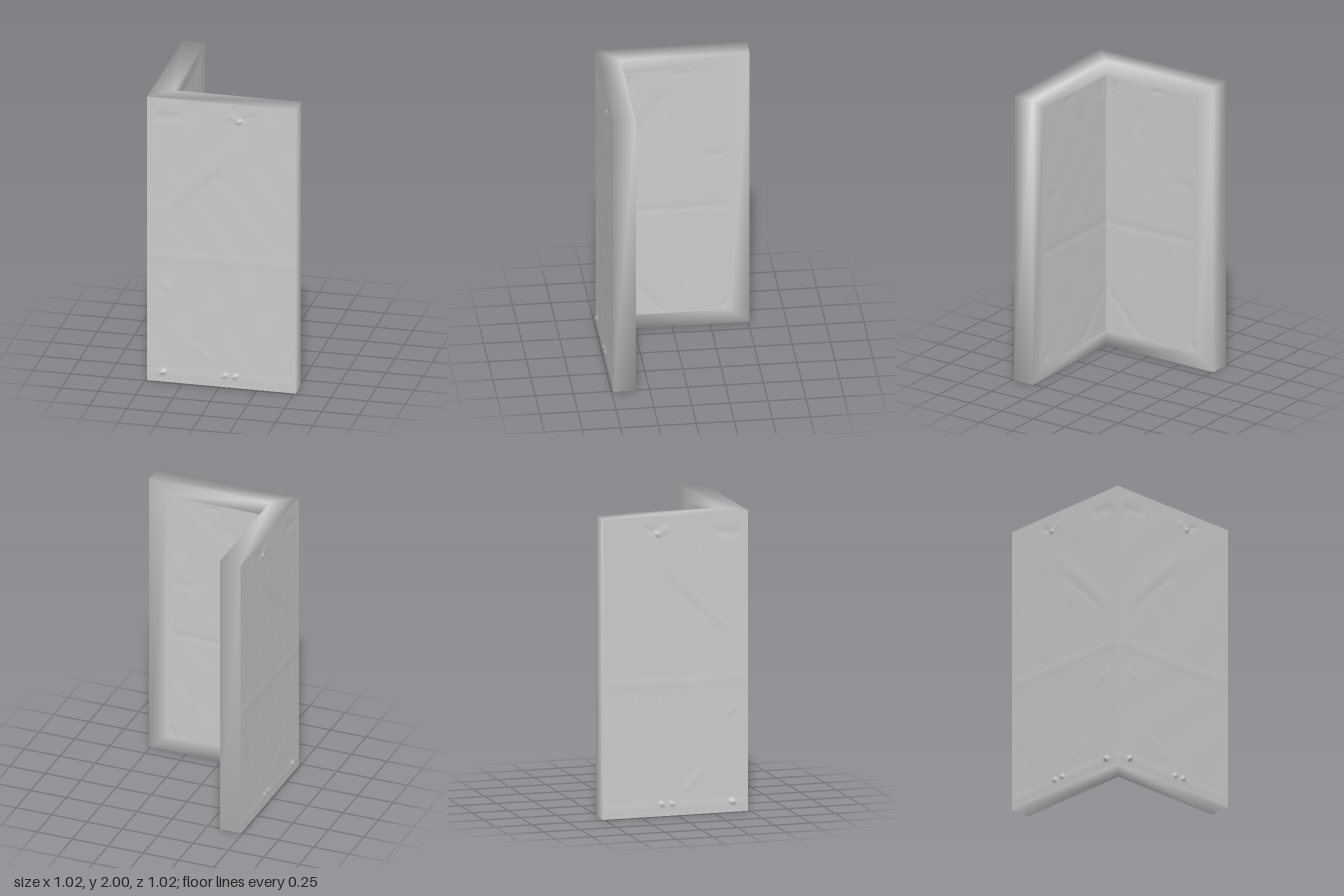
import * as THREE from 'three';
import { mergeVertices } from 'three/addons/utils/BufferGeometryUtils.js';

const OUT = 0.487;         // distance of the outer faces from the centre
const LENGTH = 0.997;      // length of each arm
const T = 0.147;           // wall thickness
const H = 2;               // height
const BORDER = 0.1;        // frame width above and below the inner panel
const PANEL_END = 0.869;   // inner panel stops here along the arm

const material = new THREE.MeshStandardMaterial({ color: 0xcccccc, roughness: 0.8 });

// s runs along an arm from the outer corner, d goes inward from the outer face.
// The side arm is the front arm mirrored across the diagonal.
const place = (s, d, y, mirrored) => (mirrored
  ? [-OUT + d, y, OUT - s]
  : [-OUT + s, y, OUT - d]);

// Folds in the sheet: [s0, y0, s1, y1, width, height]
const outerFolds = [
  [0.02, 0.88, 0.98, 0.89, 0.03, 0.0015],
  [0.12, 1.2, 0.54, 1.65, 0.05, 0.0015],
  [0.2, 1.22, 0.46, 1.48, 0.03, -0.0015],
  [0.08, 1.86, 0.2, 1.87, 0.03, -0.003],
  [0.56, 1.91, 0.62, 1.88, 0.015, 0.004],
  [0.62, 1.88, 0.7, 1.92, 0.015, -0.003],
  [0.1, 0.7, 0.14, 0.66, 0.015, 0.003],
  [0.33, 0.27, 0.42, 0.18, 0.02, 0.002],
  [0.03, 0.06, 0.98, 0.06, 0.025, 0.0015],
  // small knots standing out of the sheet
  [0.1, 0.07, 0.115, 0.07, 0.009, 0.02],
  [0.52, 0.08, 0.525, 0.08, 0.009, 0.02],
  [0.59, 0.08, 0.595, 0.08, 0.009, 0.018],
  [0.62, 1.88, 0.625, 1.88, 0.009, 0.018],
];
const innerFolds = [
  [0.17, 0.87, 0.85, 0.88, 0.025, -0.002],
  [0.17, 1.32, 0.42, 1.7, 0.04, -0.002],
  [0.17, 0.4, 0.42, 0.12, 0.03, -0.002],
  [0.2, 1.78, 0.21, 1.85, 0.02, -0.003],
  [0.52, 1.87, 0.6, 1.88, 0.015, -0.003],
  [0.73, 1.26, 0.79, 1.26, 0.025, -0.002],
  [0.83, 0.12, 0.84, 0.17, 0.015, -0.003],
];

function relief(folds, s, y) {
  let h = 0.0006 * Math.sin(s * 17 + Math.sin(y * 5)) * Math.sin(y * 13 + s * 4);
  for (const [s0, y0, s1, y1, w, amp] of folds) {
    const ds = s1 - s0, dy = y1 - y0;
    const k = ((s - s0) * ds + (y - y0) * dy) / (ds * ds + dy * dy);
    const t = THREE.MathUtils.clamp(k, 0, 1);
    const r = Math.hypot(s - s0 - ds * t, y - y0 - dy * t) / w;
    h += amp * Math.exp(-r * r);
  }
  return h;
}

// Creased sheet covering one face of an arm
function makeSheet(name, inner, mirrored) {
  const s0 = inner ? T : 0, s1 = inner ? PANEL_END : LENGTH;
  const y0 = inner ? BORDER : 0, y1 = inner ? H - BORDER : H;
  const geometry = new THREE.PlaneGeometry(1, 1, 80, 150);
  const pos = geometry.attributes.position;
  for (let i = 0; i < pos.count; i++) {
    const s = THREE.MathUtils.lerp(s0, s1, pos.getX(i) + 0.5);
    const y = THREE.MathUtils.lerp(y0, y1, pos.getY(i) + 0.5);
    const edge = Math.min(s - s0, s1 - s, y - y0, y1 - y);
    const h = relief(inner ? innerFolds : outerFolds, s, y)
      * THREE.MathUtils.smoothstep(edge, 0, 0.04);
    pos.setXYZ(i, ...place(s, inner ? T + h : -h, y, mirrored));
  }
  // Reverse the faces when the sheet is turned or mirrored
  if (inner !== mirrored) geometry.index.array.reverse();
  geometry.computeVertexNormals();
  const mesh = new THREE.Mesh(geometry, material);
  mesh.name = name;
  return mesh;
}

// Soft-shaded frame: top, bottom, ends and the border round the inner panels
function makeFrame() {
  const O = [0, 0], E = [LENGTH, 0], F = [LENGTH, T], P = [PANEL_END, T], I = [T, T];
  const lo = BORDER, hi = H - BORDER;
  const quads = [
    [[O, H], [E, H], [F, H], [I, H]],
    [[O, 0], [I, 0], [F, 0], [E, 0]],
    [[E, 0], [F, 0], [F, H], [E, H]],
    [[F, 0], [I, 0], [I, lo], [P, lo]],
    [[P, hi], [I, hi], [I, H], [F, H]],
    [[F, 0], [P, lo], [P, hi], [F, H]],
    [[O, 0], [E, 0], [E, H], [O, H]],
  ];
  const points = [];
  for (const quad of quads) {
    for (const mirrored of [false, true]) {
      const c = quad.map(([[s, d], y]) => place(s, d, y, mirrored));
      if (mirrored) c.reverse();
      for (const k of [0, 1, 2, 0, 2, 3]) points.push(...c[k]);
    }
  }
  let geometry = new THREE.BufferGeometry();
  geometry.setAttribute('position', new THREE.Float32BufferAttribute(points, 3));
  geometry = mergeVertices(geometry, 1e-4);
  geometry.computeVertexNormals();
  // The last two quads only round the shading; the outer sheets take their place
  geometry.setIndex(Array.from(geometry.index.array).slice(0, -12));
  const mesh = new THREE.Mesh(geometry, material);
  mesh.name = 'cornerFrame';
  return mesh;
}

export function createModel() {
  const group = new THREE.Group();
  group.name = 'cornerWall';
  group.add(
    makeFrame(),
    makeSheet('frontOuterSheet', false, false),
    makeSheet('sideOuterSheet', false, true),
    makeSheet('frontInnerPanel', true, false),
    makeSheet('sideInnerPanel', true, true),
  );
  return group;
}
